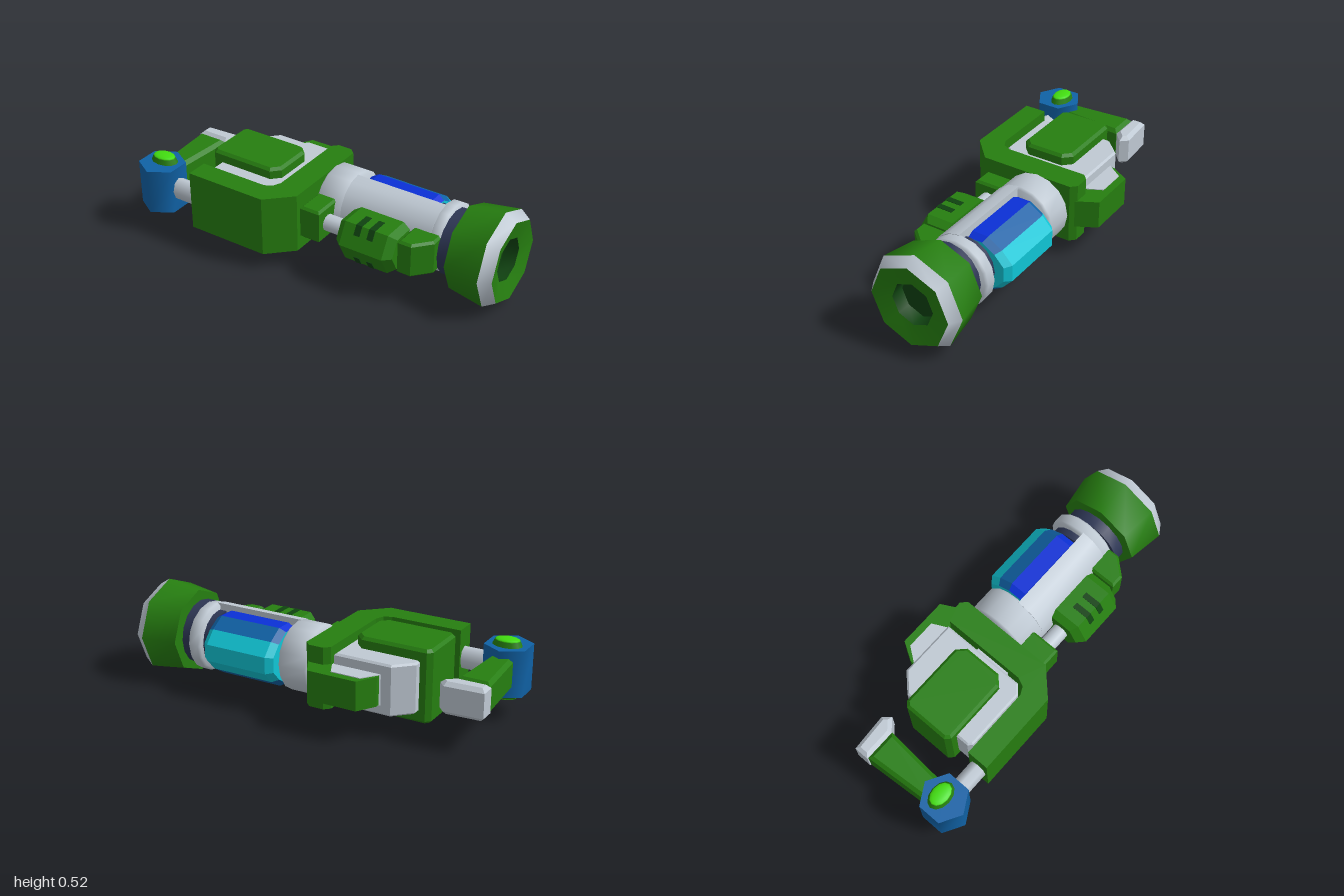
import * as THREE from 'three';
import { toCreasedNormals } from 'three/addons/utils/BufferGeometryUtils.js';

const mat = (name, color) => {
  const m = new THREE.MeshStandardMaterial({ color });
  m.name = name;
  return m;
};

export function createModel() {
  const root = new THREE.Group();
  const green = mat('green', 0x267e10);
  const darkGreen = mat('dark green', 0x0f4210);
  const grey = mat('light grey', 0xbfc9d3);
  const navy = mat('navy', 0x2d3654);
  const steelBlue = mat('steel blue', 0x1062a6);
  const royalBlue = mat('royal blue', 0x0a30d6);
  const cyan = mat('cyan', 0x10c6d6);
  const lime = mat('lime', 0x42dc10);
  const CY = 0.265; // height of the long axis

  const add = (name, geo, material, x = 0, y = 0, z = 0) => {
    const m = new THREE.Mesh(geo, material);
    m.name = name;
    m.position.set(x, y, z);
    root.add(m);
    return m;
  };
  const extrude = (pts, depth, bevel) => {
    const shape = new THREE.Shape(pts.map(([a, b]) => new THREE.Vector2(a, b)));
    return new THREE.ExtrudeGeometry(shape, {
      depth: depth - 2 * bevel, bevelEnabled: bevel > 0, bevelThickness: bevel,
      bevelSize: bevel, bevelOffset: -bevel, bevelSegments: 1,
    }).translate(0, 0, bevel);
  };
  // Outline in (x, z), raised from y0 to y1
  const prismY = (pts, y0, y1, bevel = 0) =>
    extrude(pts.map(([x, z]) => [x, -z]), y1 - y0, bevel).rotateX(-Math.PI / 2).translate(0, y0, 0);
  // Outline in (z, y), drawn from x0 to x1
  const prismX = (pts, x0, x1, bevel = 0) =>
    toCreasedNormals(extrude(pts.map(([z, y]) => [-z, y]), x1 - x0, bevel).rotateY(Math.PI / 2).translate(x0, 0, 0), 0.5);
  // Profile of [radius, x] turned about the long axis
  const turned = (name, pts, sides, material, z, crease = 0.9) => add(name,
    toCreasedNormals(new THREE.LatheGeometry(pts.map(([r, x]) => new THREE.Vector2(r, x)), sides)
      .rotateZ(-Math.PI / 2), crease), material, 0, CY, z);
  // Cross-section in (z, y) scaled at each [x, scale] station; one group per side
  const loft = (profile, stations, cz, groupOf = () => 0) => {
    const pos = [];
    const geo = new THREE.BufferGeometry();
    const at = ([x, s], [z, y]) => [x, CY + (y - CY) * s, cz + (z - cz) * s];
    const n = profile.length;
    const group = (start, index) => geo.addGroup(start, pos.length / 3 - start, index);
    for (let i = 0; i < n; i++) {
      const start = pos.length / 3;
      for (let k = 0; k + 1 < stations.length; k++) {
        const p = profile[i], q = profile[(i + 1) % n];
        const a = at(stations[k], p), b = at(stations[k], q);
        const c = at(stations[k + 1], q), d = at(stations[k + 1], p);
        pos.push(...a, ...b, ...c, ...a, ...c, ...d);
      }
      group(start, groupOf(i));
    }
    const start = pos.length / 3, first = stations[0], last = stations[stations.length - 1];
    for (let i = 1; i + 1 < n; i++) {
      const [p, q, r] = [profile[0], profile[i], profile[i + 1]];
      pos.push(...at(last, p), ...at(last, q), ...at(last, r));
      pos.push(...at(first, p), ...at(first, r), ...at(first, q));
    }
    group(start, groupOf(n - 1));
    geo.setAttribute('position', new THREE.Float32BufferAttribute(pos, 3));
    geo.computeVertexNormals();
    return geo;
  };

  // Octagonal muzzle with a grey rim and a recessed bore
  const MZ = -0.08;
  turned('muzzleBack', [[0, 0.745], [0.23, 0.745]], 8, green, MZ);
  turned('muzzle', [[0.23, 0.745], [0.26, 0.94]], 8, green, MZ);
  turned('muzzleRim', [[0.26, 0.94], [0.222, 1]], 8, grey, MZ);
  turned('muzzleFunnel', [[0.222, 1], [0.118, 0.975]], 8, green, MZ);
  turned('boreWall', [[0.118, 0.975], [0.118, 0.9]], 8, darkGreen, MZ);
  turned('boreEnd', [[0.118, 0.9], [0, 0.9]], 8, darkGreen, MZ);
  turned('collar', [[0, 0.675], [0.175, 0.675], [0.175, 0.735], [0, 0.735]], 16, navy, MZ);
  turned('neck', [[0, 0.72], [0.15, 0.72], [0.15, 0.76], [0, 0.76]], 16, navy, MZ);

  // Barrel: two full rings joined by a half shell, leaving a bay at the back
  const BZ = -0.105, R = 0.185;
  const ring = (name, x0, x1) => turned(name,
    [[0, x0], [R - 0.012, x0], [R, x0 + 0.012], [R, x1 - 0.012], [R - 0.012, x1], [0, x1]], 16, grey, BZ);
  ring('barrelRear', -0.055, 0.115);
  ring('barrelFront', 0.6, 0.675);
  const arc = Array.from({ length: 9 }, (_, i) => {
    const a = Math.PI / 2 - (i * Math.PI) / 8;
    return [BZ + 0.015 + (R - 0.015) * Math.cos(a), CY + R * Math.sin(a)];
  });
  add('barrelShell', prismX(arc, 0.1, 0.615), grey);
  turned('bayRing', [[0, 0.56], [0.15, 0.56], [0.15, 0.6], [0, 0.6]], 16, navy, BZ);

  // Faceted energy cell, banded from cyan to blue
  const cell = [[-0.33, 0.22], [-0.33, 0.31], [-0.27, 0.375], [-0.19, 0.425],
    [-0.1, 0.425], [-0.1, 0.105], [-0.19, 0.105], [-0.27, 0.155]];
  const bands = [0, 0, 1, 2, 2, 2, 1, 0];
  add('energyCell', loft(cell, [[0.13, 0.88], [0.165, 1], [0.52, 1], [0.555, 0.88]], -0.1, (i) => bands[i]),
    [cyan, steelBlue, royalBlue]);

  // Foregrip on its rod, held between two blocks
  add('foregripRearBlock', prismY([[-0.055, 0.04], [0.06, 0.04], [0.06, 0.21], [-0.055, 0.21]], 0.175, 0.36, 0.012), green);
  add('foregripFrontBlock', prismY([[0.515, 0.03], [0.67, 0.03], [0.67, 0.11], [0.59, 0.2], [0.515, 0.2]], 0.17, 0.36, 0.012), green);
  add('foregripRod', new THREE.CylinderGeometry(0.045, 0.045, 0.5, 12).rotateZ(Math.PI / 2), grey, 0.3, CY, 0.13);
  const grip = [[0.06, 0.375], [0.21, 0.375], [0.27, CY], [0.21, 0.155], [0.06, 0.155]];
  add('foregrip', loft(grip, [[0.18, 0.78], [0.22, 1], [0.465, 1], [0.505, 0.78]], 0.1), green);
  const slot = [[0.12, 0.377], [0.212, 0.378], [0.239, 0.33], [0.232, 0.328], [0.208, 0.372], [0.12, 0.372]];
  for (const x of [0.285, 0.36]) {
    add('foregripSlotTop', prismX(slot, x, x + 0.033), darkGreen);
    add('foregripSlotBottom', prismX(slot.map(([z, y]) => [z, 2 * CY - y]), x, x + 0.033), darkGreen);
  }

  // L-shaped frame around the grey receiver
  add('frame', prismY([[-0.65, 0.355], [-0.19, 0.355], [-0.06, 0.23], [-0.06, -0.29], [-0.09, -0.32], [-0.17, -0.32],
    [-0.2, -0.29], [-0.2, 0.17], [-0.22, 0.215], [-0.26, 0.235], [-0.65, 0.235]], 0.1, 0.43), green);
  add('receiver', prismY([[-0.62, 0.2], [-0.6, 0.22], [-0.26, 0.22], [-0.215, 0.18], [-0.215, -0.29],
    [-0.53, -0.29], [-0.62, -0.2]], 0.13, 0.4, 0.01), grey);
  add('receiverBridge', prismY([[-0.24, -0.1], [-0.18, -0.1], [-0.18, 0.1], [-0.24, 0.1]], 0.16, 0.37), grey);
  add('receiverBlock', prismY([[-0.68, -0.14], [-0.655, -0.165], [-0.3, -0.165], [-0.255, -0.12],
    [-0.255, 0.085], [-0.3, 0.13], [-0.655, 0.13], [-0.68, 0.105]], 0.07, 0.46, 0.015), green);
  add('bottomPanel', prismY([[-0.6, -0.02], [-0.55, -0.09], [-0.39, -0.09], [-0.33, -0.02],
    [-0.39, 0.055], [-0.55, 0.055]], 0.066, 0.072), navy);

  // Rear guard with its grey inlay
  add('rearGuard', prismY([[-0.47, -0.26], [-0.47, -0.32], [-0.41, -0.42], [-0.14, -0.42], [-0.08, -0.31],
    [-0.08, -0.26]], 0.185, 0.34), green);
  add('rearGuardInlay', prismY([[-0.49, -0.27], [-0.41, -0.38], [-0.25, -0.38], [-0.21, -0.3],
    [-0.21, -0.27]], 0.181, 0.344), grey);

  // Hexagonal pivot knob with glowing domes above and below
  add('pivotRod', new THREE.CylinderGeometry(0.063, 0.063, 0.24, 8).rotateZ(Math.PI / 2).scale(1, 1, 0.78), grey, -0.73, CY, 0.293);
  add('pivotKnob', toCreasedNormals(new THREE.CylinderGeometry(0.126, 0.126, 0.25, 6), 1.2), steelBlue, -0.89, CY, 0.29);
  for (const s of [1, -1]) {
    const dome = new THREE.Group();
    dome.name = s > 0 ? 'topDome' : 'bottomDome';
    const base = new THREE.Mesh(new THREE.CylinderGeometry(0.066, 0.08, 0.028, 12), green);
    base.name = 'domeBase';
    base.position.y = 0.014;
    const light = new THREE.Mesh(new THREE.SphereGeometry(0.066, 12, 4, 0, Math.PI * 2, 0, Math.PI / 2).scale(1, 0.2, 1), lime);
    light.name = 'domeLight';
    light.position.y = 0.028;
    dome.add(base, light);
    dome.scale.z = 0.68;
    dome.rotation.x = s > 0 ? 0 : Math.PI;
    dome.position.set(-0.89, CY + s * 0.124, 0.27);
    root.add(dome);
  }

  // Tapering rear arm and grey end cap
  add('rearArm', prismY([[-0.978, -0.14], [-0.805, -0.14], [-0.83, 0.23], [-0.95, 0.23]], 0.18, 0.35, 0.02), green);
  add('armCap', prismY([[-0.985, -0.222], [-0.78, -0.235], [-0.745, -0.195], [-0.81, -0.14], [-0.985, -0.14]], 0.18, 0.35, 0.02), grey);

  return root;
}
